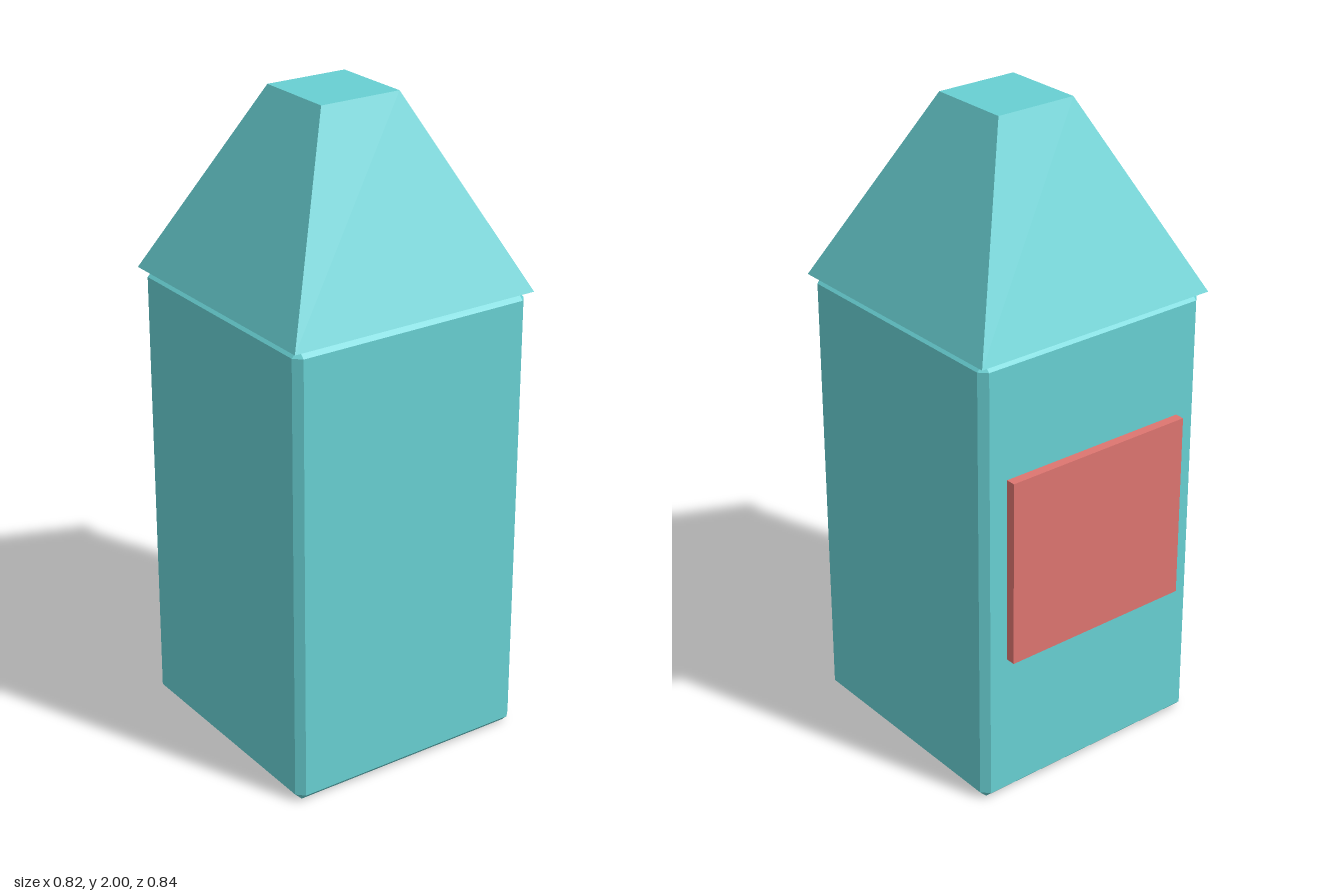
import * as THREE from 'three';
import { ConvexGeometry } from 'three/addons/geometries/ConvexGeometry.js';

// Box with every edge and corner cut off by c
function chamferedBox(w, h, d, c) {
  const points = [];
  for (const x of [-w / 2, w / 2])
    for (const y of [-h / 2, h / 2])
      for (const z of [-d / 2, d / 2]) {
        const ix = x - Math.sign(x) * c, iy = y - Math.sign(y) * c, iz = z - Math.sign(z) * c;
        points.push(
          new THREE.Vector3(x, iy, iz),
          new THREE.Vector3(ix, y, iz),
          new THREE.Vector3(ix, iy, z));
      }
  return new ConvexGeometry(points);
}

// Square frustum with flat faces, from half widths
function squareFrustum(top, bottom, height) {
  const geometry = new THREE.CylinderGeometry(top * Math.SQRT2, bottom * Math.SQRT2, height, 4)
    .rotateY(Math.PI / 4)
    .toNonIndexed();
  geometry.computeVertexNormals();
  return geometry;
}

export function createModel() {
  const teal = new THREE.MeshStandardMaterial({ color: 0x68d0d3 });
  teal.name = 'teal';
  const red = new THREE.MeshStandardMaterial({ color: 0xdd7570 });
  red.name = 'red';

  const model = new THREE.Group();
  model.name = 'bottle';
  const add = (name, geometry, material, y, z) => {
    const mesh = new THREE.Mesh(geometry, material);
    mesh.name = name;
    mesh.position.set(0, y, z);
    model.add(mesh);
  };

  // Tall body with chamfered edges
  add('body', chamferedBox(0.8, 1.43, 0.8, 0.023), teal, 0.715, 0.01);

  // Tapered top, slightly wider than the body
  add('taperedTop', squareFrustum(0.132, 0.411, 0.57), teal, 1.715, 0.008);

  // Raised label panel on the back
  add('backPanel', new THREE.BoxGeometry(0.632, 0.59, 0.05), red, 0.765, -0.395);

  return model;
}
